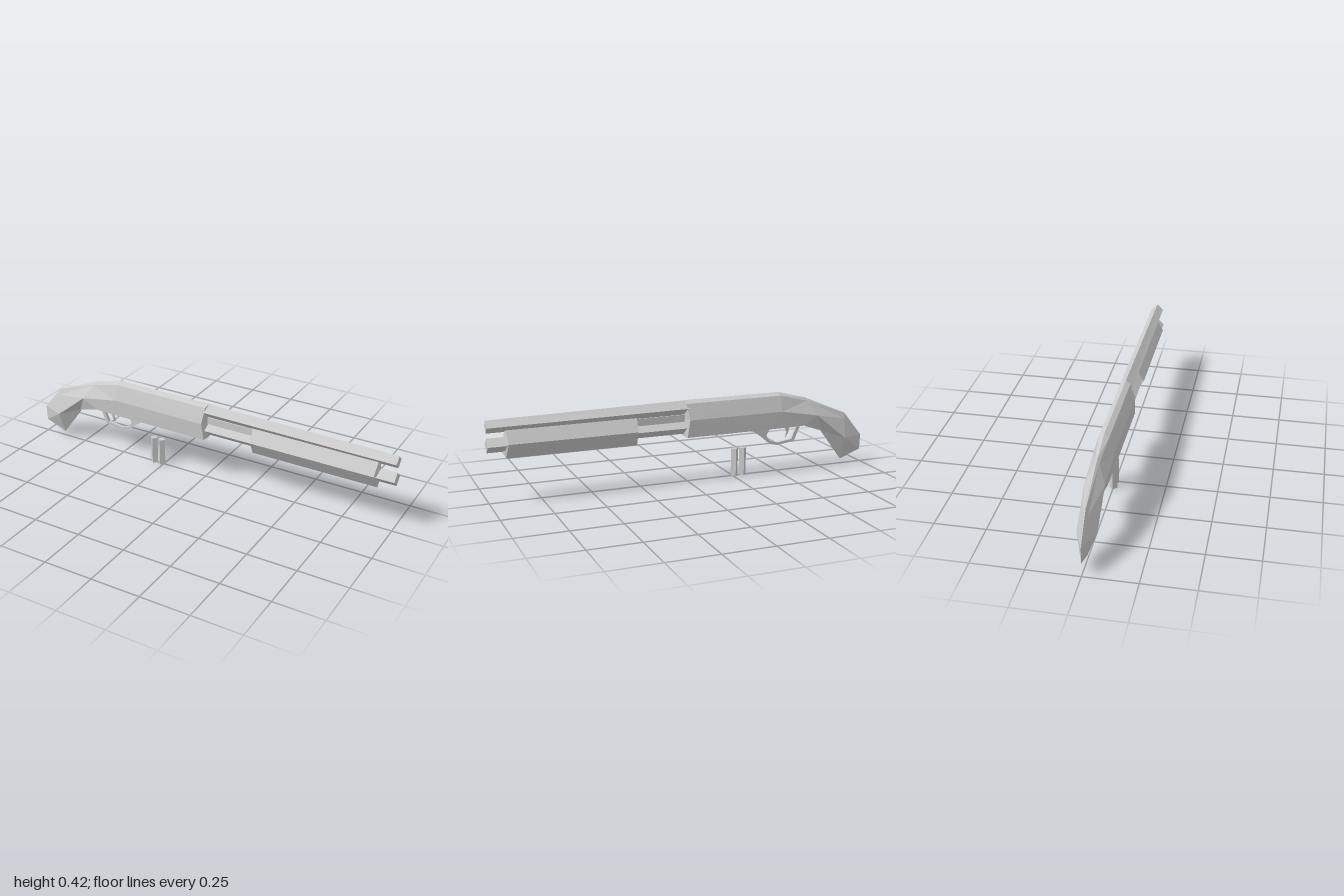
import * as THREE from 'three';

const material = new THREE.MeshStandardMaterial({ color: 0xcccccc, flatShading: true });

function addMesh(group, name, geometry) {
  const mesh = new THREE.Mesh(geometry, material);
  mesh.name = name;
  group.add(mesh);
  return mesh;
}

// Half section [x, y, z] from top to bottom, mirrored into a closed ring
function ring(half) {
  const other = half.slice(1, -1).reverse().map(([x, y, z]) => [x, y, -z]);
  return [...half, ...other].map((p) => new THREE.Vector3(...p));
}

const diamond = (x, y, ry, rz, sideX = x) =>
  ring([[x, y + ry, 0], [sideX, y, rz], [x, y - ry, 0]]);

// Faceted skin over rings ordered from rear to muzzle, closed by fans to capped centres
function loft(rings, rearX, frontX) {
  const positions = [];
  const tri = (a, b, c) => {
    const area = b.clone().sub(a).cross(c.clone().sub(a)).length();
    if (area > 1e-8) for (const p of [a, b, c]) positions.push(p.x, p.y, p.z);
  };
  const n = rings[0].length;
  for (let r = 0; r < rings.length - 1; r++) {
    for (let i = 0; i < n; i++) {
      const j = (i + 1) % n;
      const a = rings[r][i], b = rings[r][j], c = rings[r + 1][j], d = rings[r + 1][i];
      // split each quad along its shorter diagonal
      if (a.distanceTo(c) < b.distanceTo(d)) {
        tri(a, b, c);
        tri(a, c, d);
      } else {
        tri(a, b, d);
        tri(b, c, d);
      }
    }
  }
  const cap = (points, x, front) => {
    const centre = new THREE.Vector3();
    points.forEach((p) => centre.addScaledVector(p, 1 / n));
    centre.x = x;
    points.forEach((p, i) => {
      const q = points[(i + 1) % n];
      front ? tri(centre, p, q) : tri(centre, q, p);
    });
  };
  if (rearX !== undefined) cap(rings[0], rearX, false);
  if (frontX !== undefined) cap(rings[rings.length - 1], frontX, true);
  const geometry = new THREE.BufferGeometry();
  geometry.setAttribute('position', new THREE.Float32BufferAttribute(positions, 3));
  geometry.computeVertexNormals();
  return geometry;
}

const toPoints = (list) => list.map(([x, y]) => new THREE.Vector2(x, y));

// Flat plate centred on z = 0
function plate(shape, depth) {
  return new THREE.ExtrudeGeometry(shape, { depth, bevelEnabled: false })
    .translate(0, 0, -depth / 2);
}

export function createModel() {
  const group = new THREE.Group();

  // Receiver flowing back into the bent pistol grip
  const gripEnd = ring([
    [-1, 0.147, 0], [-1, 0.147, 0], [-0.997, 0.067, 0], [-0.88, 0.024, 0], [-0.88, 0.024, 0],
  ]);
  const gripBend = ring([
    [-0.895, 0.275, 0], [-0.893, 0.245, 0.012], [-0.88, 0.148, 0.046],
    [-0.76, 0.19, 0.012], [-0.76, 0.19, 0],
  ]);
  const gripNeck = ring([
    [-0.655, 0.377, 0], [-0.664, 0.36, 0.012], [-0.71, 0.285, 0.046],
    [-0.634, 0.237, 0.043], [-0.634, 0.235, 0],
  ]);
  const receiverRear = ring([
    [-0.505, 0.417, 0], [-0.505, 0.402, 0.024], [-0.505, 0.323, 0.048],
    [-0.505, 0.236, 0.045], [-0.505, 0.236, 0],
  ]);
  const receiverFront = ring([
    [0.02, 0.417, 0], [0.012, 0.402, 0.025], [0.003, 0.323, 0.05],
    [0.015, 0.235, 0.046], [0.02, 0.235, 0],
  ]);
  addMesh(group, 'receiverAndGrip',
    loft([gripEnd, gripBend, gripNeck, receiverRear, receiverFront], undefined, 0.02));

  // Barrel, magazine tube and the bar between them
  addMesh(group, 'barrel',
    loft([diamond(0, 0.379, 0.037, 0.035), diamond(1, 0.371, 0.031, 0.032)], 0, 1));
  addMesh(group, 'magazineTube',
    loft([diamond(0, 0.281, 0.035, 0.037), diamond(1, 0.281, 0.035, 0.037)], 0, 1));
  addMesh(group, 'actionBar', new THREE.BoxGeometry(0.28, 0.036, 0.02))
    .position.set(0.14, 0.327, 0);

  // Sliding fore-end
  addMesh(group, 'foreEnd',
    loft([diamond(0.265, 0.288, 0.077, 0.048, 0.272), diamond(0.91, 0.288, 0.077, 0.048, 0.905)],
      0.275, 0.925));

  // Trigger guard with its opening
  const guard = new THREE.Shape(toPoints([
    [-0.634, 0.24], [-0.596, 0.152], [-0.5, 0.138], [-0.46, 0.147], [-0.41, 0.19], [-0.334, 0.24],
  ]));
  guard.holes.push(new THREE.Path(toPoints([
    [-0.612, 0.235], [-0.458, 0.235], [-0.437, 0.195], [-0.452, 0.168],
    [-0.498, 0.151], [-0.582, 0.163],
  ])));
  addMesh(group, 'triggerGuard', plate(guard, 0.016));

  // Trigger
  const trigger = new THREE.Shape(toPoints([
    [-0.572, 0.24], [-0.565, 0.205], [-0.548, 0.172], [-0.553, 0.205], [-0.54, 0.24],
  ]));
  addMesh(group, 'trigger', plate(trigger, 0.01));

  // Two loose shells standing below
  for (const x of [-0.305, -0.26]) {
    addMesh(group, 'shell', new THREE.CylinderGeometry(0.0195, 0.0195, 0.143, 4))
      .position.set(x, 0.0715, 0);
  }

  return group;
}
